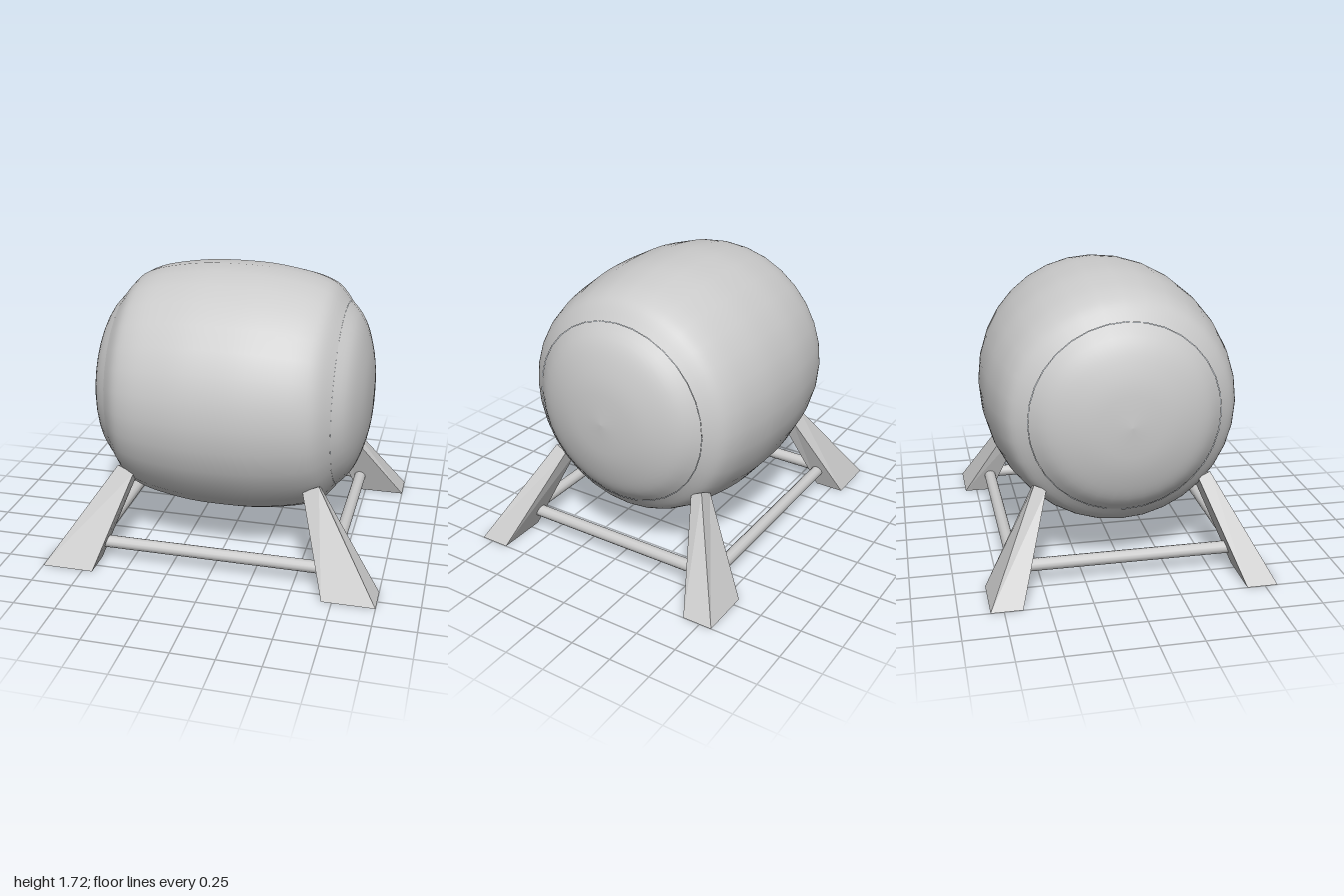
import * as THREE from 'three';

const material = new THREE.MeshStandardMaterial({ color: 0xcccccc });
const AXIS_Y = 0.96;

// Smooth surface of revolution around the x axis; points are [x, radius] in rising x
function lathe(points, steps) {
  const curve = new THREE.SplineCurve(points.map(([x, r]) => new THREE.Vector2(r, x)));
  const profile = curve.getPoints(steps);
  profile.forEach((p) => { p.x = Math.max(p.x, 0); });
  return new THREE.LatheGeometry(profile, 32).rotateZ(-Math.PI / 2);
}

// Tapered leg leaning inward: a box with its corners moved to foot and top outlines
function legGeometry(sx, sz) {
  const geo = new THREE.BoxGeometry(1, 1, 1).toNonIndexed();
  const pos = geo.attributes.position;
  for (let i = 0; i < pos.count; i++) {
    const outX = pos.getX(i) * sx > 0;
    const outZ = pos.getZ(i) * sz > 0;
    if (pos.getY(i) < 0) {
      pos.setXYZ(i, sx * (outX ? 1 : 0.69), 0, sz * (outZ ? 0.825 : 0.645));
    } else {
      const y = 0.57 - (outX ? 0 : 0.045) - (outZ ? 0 : 0.035);
      pos.setXYZ(i, sx * (outX ? 0.61 : 0.515), y, sz * (outZ ? 0.52 : 0.45));
    }
  }
  geo.computeVertexNormals();
  return geo;
}

export function createModel() {
  const model = new THREE.Group();
  const add = (name, geometry, x = 0, y = 0, z = 0) => {
    const mesh = new THREE.Mesh(geometry, material);
    mesh.name = name;
    mesh.position.set(x, y, z);
    model.add(mesh);
    return mesh;
  };

  // Bulging barrel body
  const half = [[0.2, 0.748], [0.4, 0.718], [0.52, 0.685], [0.6, 0.64], [0.67, 0.557]];
  const mirrored = half.map(([x, r]) => [-x, r]).reverse();
  add('barrelBody', lathe([...mirrored, [0, 0.755], ...half], 40), 0, AXIS_Y);

  // Domed ends
  const dome = [[0.67, 0.555], [0.74, 0.475], [0.79, 0.365], [0.828, 0.21], [0.845, 0]];
  add('leftEnd', lathe(dome, 14), 0, AXIS_Y);
  add('rightEnd', lathe(dome, 14).rotateY(Math.PI), 0, AXIS_Y);

  // Legs, one at each corner
  for (const sx of [1, -1]) {
    for (const sz of [1, -1]) {
      add(`${sz > 0 ? 'front' : 'back'}${sx > 0 ? 'Left' : 'Right'}Leg`, legGeometry(sx, sz));
    }
  }

  // Rails joining the legs
  const rail = (length) => new THREE.CylinderGeometry(0.037, 0.037, length, 12);
  for (const s of [1, -1]) {
    add(s > 0 ? 'frontRail' : 'backRail', rail(1.4).rotateZ(Math.PI / 2), 0, 0.123, s * 0.658);
    add(s > 0 ? 'leftRail' : 'rightRail', rail(1.28).rotateX(Math.PI / 2), s * 0.713, 0.123, 0);
  }

  return model;
}
